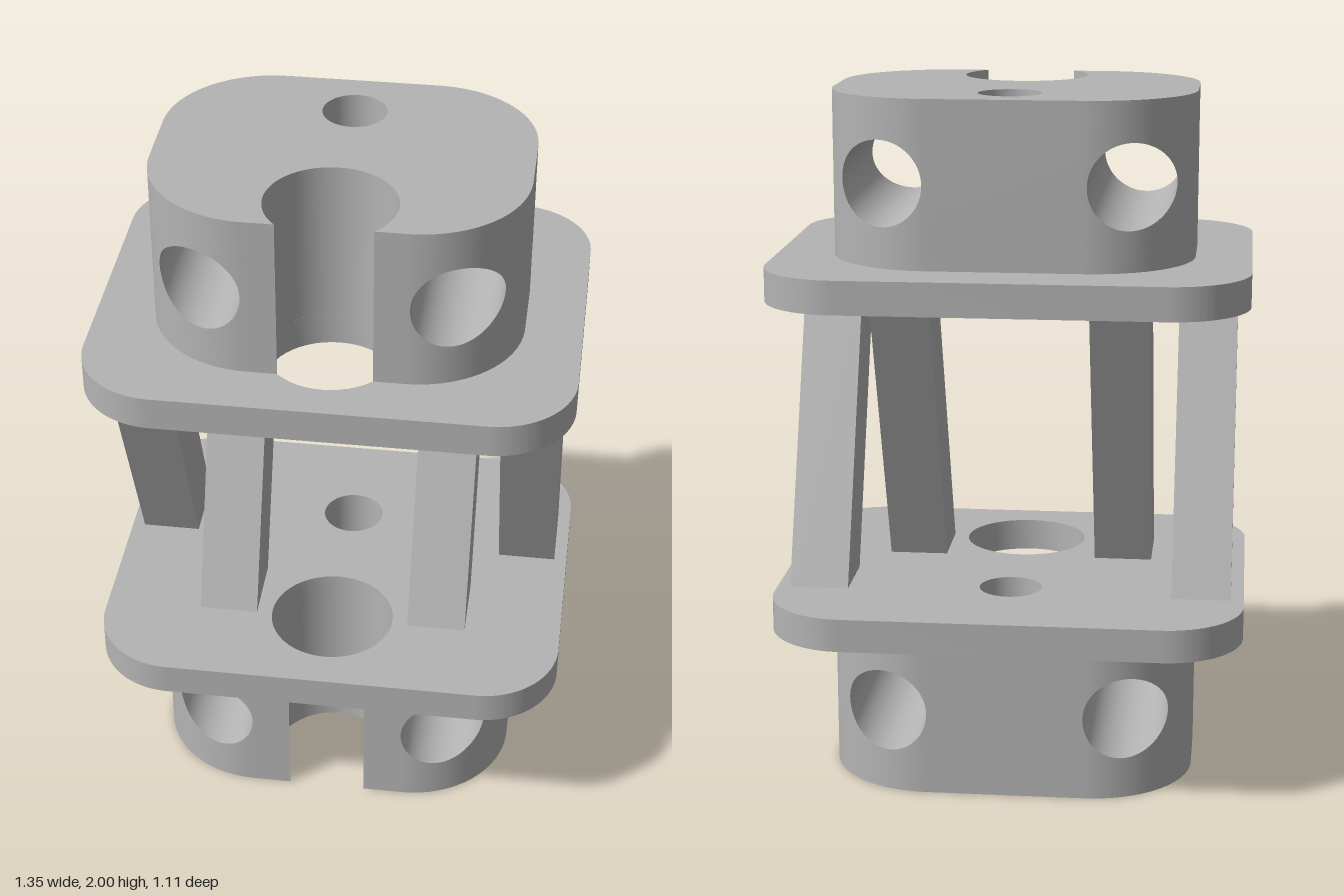
import * as THREE from 'three';
import { toCreasedNormals } from 'three/addons/utils/BufferGeometryUtils.js';

const NOTCH = { z: 0.27, r: 0.18 };  // large cable hole, opens through the front of each block
const PIN = { z: -0.22, r: 0.09 };   // small hole at the back
const BORE = { x: 0.345, r: 0.12 };  // front-to-back bores
const CORNER = 0.3;                  // block corner radius

// Smooth grid surface: fn(a, b) gives [px, py, pz, nx, ny, nz]; triangles turn to face the normal
function surface(fn, na, nb) {
  const pos = [], nor = [], idx = [];
  for (let j = 0; j <= nb; j++) for (let i = 0; i <= na; i++) {
    const v = fn(i / na, j / nb);
    pos.push(v[0], v[1], v[2]);
    nor.push(v[3], v[4], v[5]);
  }
  const P = i => new THREE.Vector3().fromArray(pos, i * 3);
  const N = i => new THREE.Vector3().fromArray(nor, i * 3);
  const tri = (a, b, c) => {
    const f = P(b).sub(P(a)).cross(P(c).sub(P(a)));
    if (f.dot(N(a).add(N(b)).add(N(c))) < 0) idx.push(a, c, b);
    else idx.push(a, b, c);
  };
  for (let j = 0; j < nb; j++) for (let i = 0; i < na; i++) {
    const a = j * (na + 1) + i, d = a + na + 1;
    tri(a, a + 1, d + 1);
    tri(a, d + 1, d);
  }
  const g = new THREE.BufferGeometry();
  g.setAttribute('position', new THREE.Float32BufferAttribute(pos, 3));
  g.setAttribute('normal', new THREE.Float32BufferAttribute(nor, 3));
  g.setIndex(idx);
  return g;
}

// Vertical inward-facing wall of a round hole, between two angles measured from +z
function holeWall({ z, r }, a0, a1, y0, y1) {
  return surface((a, b) => {
    const t = a0 + (a1 - a0) * a, s = Math.sin(t), c = Math.cos(t);
    return [r * s, y0 + (y1 - y0) * b, z + r * c, -s, 0, -c];
  }, 64, 1);
}

function createBlock(name, w, d, y0, y1, boreY, capUp, material) {
  const block = new THREE.Group();
  block.name = name;
  const add = (part, geo) => {
    const m = new THREE.Mesh(geo, material);
    m.name = part;
    block.add(m);
  };
  const cx = w - CORNER, cz = d - CORNER, arc = CORNER * Math.PI / 2;
  const uEnd = cx + arc + cz;
  // Quarter outline by arc length u: from x = 0 around the corner to z = 0
  const outline = u => {
    if (u <= cx) return [u, d, 0, 1];
    if (u >= cx + arc) return [w, cz - (u - cx - arc), 1, 0];
    const t = (u - cx) / CORNER, s = Math.sin(t), c = Math.cos(t);
    return [cx + CORNER * s, cz + CORNER * c, s, c];
  };
  const uOfX = x => x <= cx ? x : cx + CORNER * Math.asin((x - cx) / CORNER);
  const open = Math.acos((d - NOTCH.z) / NOTCH.r);
  const notchX = NOTCH.r * Math.sin(open);

  for (const sx of [1, -1]) {
    for (const sz of [1, -1]) {
      // Outer wall quarter, spread from the bore rim out to its rectangular border
      const u0 = sz > 0 ? notchX : 0;
      add('outerWall', surface((a, b) => {
        const k = Math.min(3, Math.floor(a * 4 + 1e-9)), t = a * 4 - k;
        const ang = (a - 0.375) * Math.PI * 2;
        const eu = [t, 1, 1 - t, 0], ey = [0, t, 1, 1 - t];
        const cu = uOfX(BORE.x + BORE.r * Math.cos(ang));
        const cy = boreY + BORE.r * Math.sin(ang);
        const u = cu + (u0 + (uEnd - u0) * eu[k] - cu) * b;
        const y = cy + (y0 + (y1 - y0) * ey[k] - cy) * b;
        const [x, z, nx, nz] = outline(u);
        return [sx * x, y, sz * z, sx * nx, 0, sz * nz];
      }, 96, 10));
    }
    // Bore through the block from front to back
    add('boreWall', surface((a, b) => {
      const t = a * Math.PI * 2, c = Math.cos(t), s = Math.sin(t);
      const x = BORE.x + BORE.r * c, z = outline(uOfX(x))[1];
      return [sx * x, boreY + BORE.r * s, z * (2 * b - 1), -sx * c, -s, 0];
    }, 96, 1));
  }
  add('notchWall', holeWall(NOTCH, open, Math.PI * 2 - open, y0, y1));
  add('pinHoleWall', holeWall(PIN, 0, Math.PI * 2, y0, y1));

  // End face: right half outline, left half, then back around the notch
  const f = capUp ? -1 : 1, pts = [], n = 48;
  const put = (x, z) => pts.push(new THREE.Vector2(x, f * z));
  const span = (u0, u1, sx, sz) => {
    for (let i = 0; i < n; i++) {
      const [x, z] = outline(u0 + (u1 - u0) * i / n);
      put(sx * x, sz * z);
    }
  };
  span(notchX, uEnd, 1, 1);
  span(uEnd, 0, 1, -1);
  span(0, uEnd, -1, -1);
  span(uEnd, notchX, -1, 1);
  for (let i = 0; i < 64; i++) {
    const t = -open - (Math.PI * 2 - 2 * open) * i / 64;
    put(NOTCH.r * Math.sin(t), NOTCH.z + NOTCH.r * Math.cos(t));
  }
  const shape = new THREE.Shape(pts);
  shape.holes.push(new THREE.Path().absarc(0, f * PIN.z, PIN.r, 0, Math.PI * 2, true));
  const cap = new THREE.ShapeGeometry(shape, 32);
  cap.rotateX(f * Math.PI / 2);
  cap.translate(0, capUp ? y1 : y0, 0);
  add('endFace', cap);
  return block;
}

// Rounded plate with both vertical holes
function plateGeometry(w, d, r, h) {
  const s = new THREE.Shape();
  s.absarc(w - r, d - r, r, 0, Math.PI / 2);
  s.absarc(r - w, d - r, r, Math.PI / 2, Math.PI);
  s.absarc(r - w, r - d, r, Math.PI, Math.PI * 1.5);
  s.absarc(w - r, r - d, r, Math.PI * 1.5, Math.PI * 2);
  for (const hole of [NOTCH, PIN]) {
    s.holes.push(new THREE.Path().absarc(0, hole.z, hole.r, 0, Math.PI * 2, true));
  }
  const g = new THREE.ExtrudeGeometry(s, { depth: h, bevelEnabled: false, curveSegments: 24 });
  g.rotateX(Math.PI / 2);
  return toCreasedNormals(g, 0.6);
}

export function createModel() {
  const model = new THREE.Group();
  model.name = 'bracedSpacer';
  const grey = new THREE.MeshStandardMaterial({ color: 0xb4b4b4 });
  grey.name = 'plainGrey';

  model.add(createBlock('upperBlock', 0.515, 0.395, 1.53, 2, 1.765, true, grey));
  model.add(createBlock('lowerBlock', 0.53, 0.41, 0, 0.475, 0.24, false, grey));

  const plate = plateGeometry(0.675, 0.555, 0.225, 0.095);
  for (const [name, top] of [['upperPlate', 1.53], ['lowerPlate', 0.57]]) {
    const m = new THREE.Mesh(plate, grey);
    m.name = name;
    m.position.y = top;
    model.add(m);
  }

  // Slanted struts: inner pair leans back, outer pair leans forward
  const height = 0.865;
  for (const [name, x, lean] of [['innerStrut', 0.31, -0.36], ['outerStrut', 0.553, 0.36]]) {
    const g = new THREE.BoxGeometry(0.17, height, 0.205);
    const p = g.attributes.position;
    for (let i = 0; i < p.count; i++) p.setZ(i, p.getZ(i) + lean * p.getY(i) / height);
    g.computeVertexNormals();
    for (const side of [1, -1]) {
      const m = new THREE.Mesh(g, grey);
      m.name = name;
      m.position.set(side * x, 1.0025, 0);
      model.add(m);
    }
  }
  return model;
}
